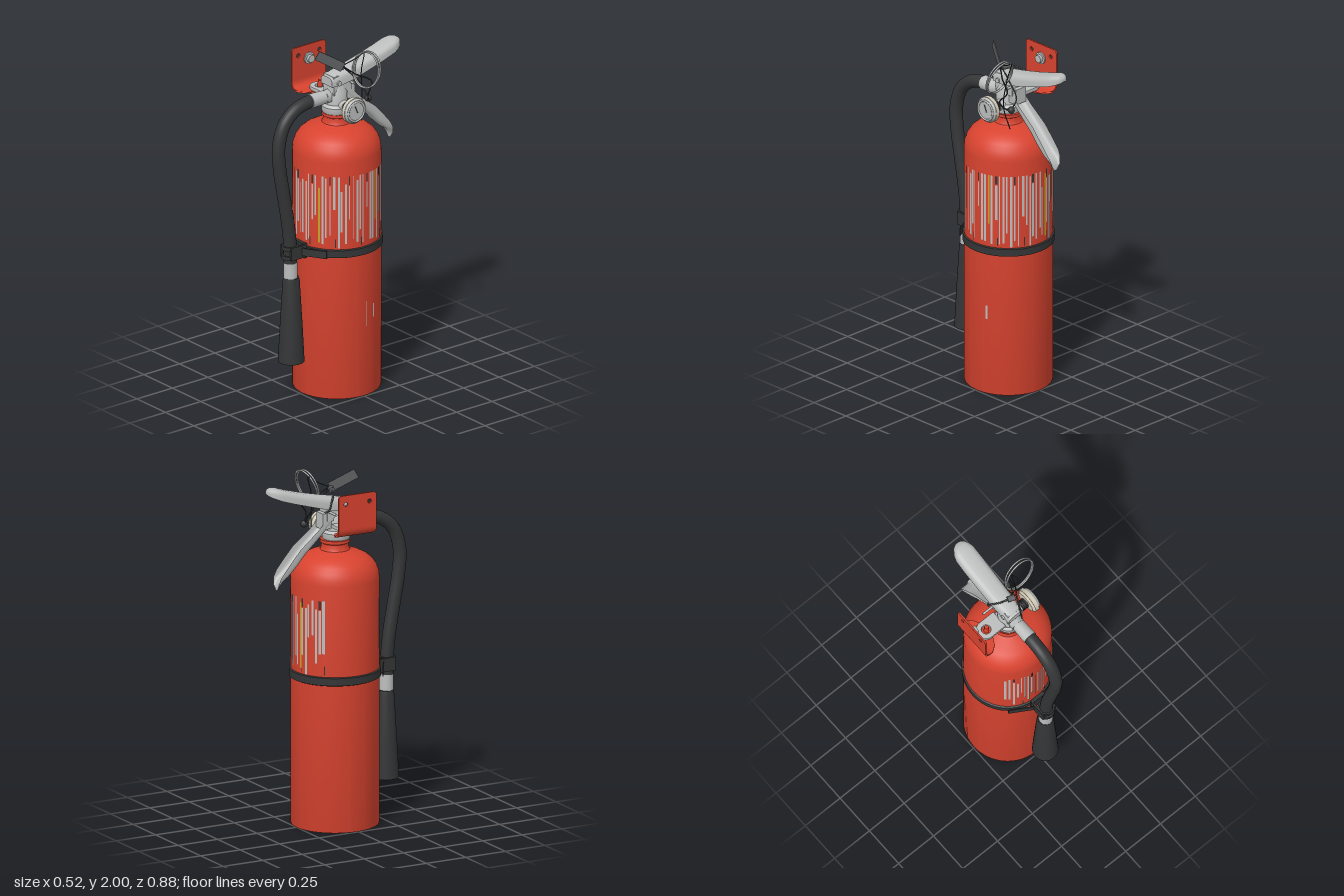
import * as THREE from 'three';
import { mergeGeometries, toCreasedNormals } from 'three/addons/utils/BufferGeometryUtils.js';

const V = (x, y, z) => new THREE.Vector3(x, y, z);

export function createModel() {
  const root = new THREE.Group();
  root.name = 'fireExtinguisher';
  const mat = (name, color, side = THREE.FrontSide) => {
    const m = new THREE.MeshStandardMaterial({ color, side });
    m.name = name;
    return m;
  };
  const red = mat('red paint', 0xd8432f, THREE.DoubleSide);
  const silver = mat('silver metal', 0xbcbebd, THREE.DoubleSide);
  const black = mat('black rubber', 0x343536, THREE.DoubleSide);
  const grey = mat('dark grey tag', 0x5c5d5f);
  const cream = mat('cream gauge rim', 0xd0c9b6);
  const yellow = mat('yellow label', 0xc9a227);

  const add = (name, geo, material, x = 0, y = 0, z = 0, parent = root) => {
    const m = new THREE.Mesh(geo, material);
    m.name = name;
    m.position.set(x, y, z);
    parent.add(m);
    return m;
  };
  const box = (name, w, h, d, material, x, y, z) => add(name, new THREE.BoxGeometry(w, h, d), material, x, y, z);
  // Cylinder between two points
  const rod = (name, a, b, ra, rb, material, seg = 24) => {
    const m = add(name, new THREE.CylinderGeometry(rb, ra, a.distanceTo(b), seg), material);
    m.position.copy(a).lerp(b, 0.5);
    m.quaternion.setFromUnitVectors(V(0, 1, 0), b.clone().sub(a).normalize());
    return m;
  };
  const lathe = (pts, seg = 72) =>
    toCreasedNormals(new THREE.LatheGeometry(pts.map(p => new THREE.Vector2(p[0], p[1])), seg), 0.6);
  const tube = (name, pts, r, material, seg = 60, sides = 8, closed = false) =>
    add(name, new THREE.TubeGeometry(new THREE.CatmullRomCurve3(pts.map(p => V(...p)), closed), seg, r, sides, closed), material);

  // Tank, with a recessed base inside a skirt
  const cz = -0.007;
  add('tank', lathe([
    [0, 0.09], [0.12, 0.08], [0.2, 0.06], [0.237, 0.045], [0.237, 0], [0.243, 0], [0.245, 0.008], [0.245, 1.4],
    [0.242, 1.43], [0.23, 1.465], [0.21, 1.495], [0.18, 1.52], [0.145, 1.538], [0.1, 1.55],
    [0.083, 1.558], [0.076, 1.57], [0.075, 1.595], [0.083, 1.6], [0.083, 1.618], [0, 1.618],
  ], 96), red, 0, 0, cz);

  // Worn label strips around the front, left and back
  let seed = 7;
  const rand = () => (seed = (seed * 16807) % 2147483647) / 2147483647;
  const strips = { silver: [], black: [], yellow: [] };
  const strip = (kind, angle, width, y0, y1) => {
    const g = new THREE.CylinderGeometry(0.2475, 0.2475, y1 - y0, 2, 1, true, angle, width / 0.245);
    strips[kind].push(g.translate(0, (y0 + y1) / 2, 0));
  };
  for (let i = 0; i < 54; i++) {
    const angle = -0.78 + i * 0.088 + rand() * 0.03;
    const width = (angle > 2.7 ? 0.008 : 0.005) + rand() * 0.009;
    if (i % 5 === 2) strip('black', angle, width, 1.27, 1.32);
    const top = i % 5 === 2 ? 1.265 : 1.32 - (rand() < 0.35 ? rand() * 0.12 : 0);
    const low = 0.89 + rand() * rand() * 0.3;
    strip(i % 16 === 14 ? 'yellow' : 'silver', angle, width, low, top);
    if (i % 7 === 4) strip('black', angle + 0.045, 0.005, 0.9, 0.95);
  }
  strip('silver', 1.83, 0.012, 0.45, 0.53);
  strip('silver', 1.6, 0.003, 0.41, 0.56);
  const stripMats = { silver, black, yellow };
  for (const k in strips) add(k + 'LabelStrips', mergeGeometries(strips[k]), stripMats[k], 0, 0, cz);

  // Strap and the clip that holds the hose
  add('strap', lathe([[0.245, 0.838], [0.254, 0.842], [0.254, 0.884], [0.245, 0.888]]), black, 0, 0, cz);
  for (const s of [-1, 1]) {
    const end = box('strapEnd', 0.145, 0.044, 0.006, black, s * 0.108, 0.862, 0.237);
    end.rotation.y = s * 0.54;
    box('clipArm', 0.012, 0.075, 0.1, black, s * 0.041, 0.862, 0.3);
  }
  box('clipBack', 0.09, 0.085, 0.02, black, 0, 0.862, 0.25);
  for (const y of [0.835, 0.89])
    add('clipRing', new THREE.CylinderGeometry(0.047, 0.047, 0.022, 24), black, 0, y, 0.322);

  // Hose, ferrules and discharge horn
  tube('hose', [[0, 1.718, 0.16], [0, 1.715, 0.21], [0, 1.69, 0.29], [0, 1.62, 0.365], [0, 1.5, 0.402],
    [0, 1.36, 0.394], [0, 1.2, 0.366], [0, 1.02, 0.335], [0, 0.9, 0.323], [0, 0.78, 0.32]], 0.037, black, 90, 24);
  rod('hoseFerrule', V(0, 1.718, 0.07), V(0, 1.718, 0.185), 0.037, 0.041, silver);
  rod('hoseNut', V(0, 1.718, 0.055), V(0, 1.718, 0.085), 0.043, 0.043, silver, 6);
  rod('hornFerrule', V(0, 0.71, 0.318), V(0, 0.8, 0.32), 0.039, 0.039, silver);
  add('horn', lathe([[0, 0.24], [0.06, 0.22], [0.068, 0.21], [0.073, 0.212], [0.072, 0.24], [0.063, 0.42],
    [0.047, 0.69], [0.043, 0.71], [0, 0.712]], 36), black, 0, 0, 0.314);

  // Valve body
  add('valveBody', lathe([[0, 1.615], [0.072, 1.615], [0.078, 1.625], [0.078, 1.655], [0.064, 1.67],
    [0.062, 1.74], [0.05, 1.765], [0.045, 1.8], [0, 1.8]], 36), silver);
  box('valveYoke', 0.09, 0.11, 0.13, silver, 0, 1.785, -0.015);
  box('handleMount', 0.075, 0.09, 0.09, silver, 0, 1.73, -0.06);
  rod('leverPivot', V(-0.062, 1.8, 0.02), V(0.062, 1.8, 0.02), 0.014, 0.014, silver, 16);

  // Pressed channel: half-round sections along a path, opening away from its normal (ny, nz)
  const channel = (name, stations, ny, nz) => {
    const n = 14, pos = [], idx = [];
    const soft = v => Math.sign(v) * Math.pow(Math.abs(v), 0.55);
    stations.forEach(([z, y, w, d], i) => {
      for (let j = 0; j <= n; j++) {
        const a = (j / n) * Math.PI, h = d * soft(Math.sin(a));
        pos.push(w * soft(Math.cos(a)), y + ny * h, z + nz * h);
        if (i && j) {
          const q = i * (n + 1) + j, p = q - n - 1;
          idx.push(p - 1, p, q - 1, p, q, q - 1);
        }
      }
    });
    // Close both ends
    for (const s of [0, (stations.length - 1) * (n + 1)])
      for (let j = 1; j < n; j++) idx.push(...(s ? [s, s + j, s + j + 1] : [s, s + j + 1, s + j]));
    // Face outward whichever way the normal points
    if (ny < 0) for (let i = 0; i < idx.length; i += 3) [idx[i], idx[i + 1]] = [idx[i + 1], idx[i]];
    const g = new THREE.BufferGeometry();
    g.setAttribute('position', new THREE.Float32BufferAttribute(pos, 3));
    g.setIndex(idx);
    g.computeVertexNormals();
    return add(name, toCreasedNormals(g, 0.9), silver);
  };
  channel('upperLever', [[0.065, 1.785, 0.05, 0.05], [0.0, 1.785, 0.056, 0.07], [-0.08, 1.8, 0.06, 0.07],
    [-0.2, 1.835, 0.063, 0.062], [-0.3, 1.865, 0.064, 0.06], [-0.37, 1.888, 0.063, 0.06], [-0.4, 1.9, 0.054, 0.054],
    [-0.425, 1.91, 0.037, 0.042], [-0.437, 1.917, 0.018, 0.025], [-0.44, 1.922, 0.004, 0.01]], 1, 0);
  channel('lowerHandle', [[-0.05, 1.77, 0.04, 0.05], [-0.14, 1.68, 0.042, 0.045], [-0.25, 1.592, 0.045, 0.055],
    [-0.3, 1.535, 0.046, 0.055], [-0.35, 1.475, 0.046, 0.045], [-0.372, 1.44, 0.04, 0.028],
    [-0.38, 1.4, 0.03, 0.012], [-0.378, 1.37, 0.012, 0.005]], -0.7, 0.7);

  // Pressure gauge on the left side
  const gy = 1.665, gz = -0.005;
  const gx = (name, x0, x1, r0, r1, m) => rod(name, V(x0, gy, gz), V(x1, gy, gz), r0, r1, m, 40);
  gx('gaugeBoss', 0.04, 0.085, 0.035, 0.03, silver);
  gx('gaugeStem', 0.08, 0.132, 0.026, 0.026, black);
  for (const x of [0.09, 0.103, 0.116]) gx('gaugeThread', x, x + 0.006, 0.031, 0.031, black);
  gx('gaugeBack', 0.128, 0.14, 0.06, 0.073, cream);
  gx('gaugeRim', 0.14, 0.163, 0.075, 0.075, cream);
  gx('gaugeFace', 0.162, 0.176, 0.073, 0.064, silver);
  const bezel = add('gaugeBezel', new THREE.TorusGeometry(0.056, 0.006, 8, 40), silver, 0.176, gy, gz);
  bezel.rotation.y = Math.PI / 2;
  const needle = box('gaugeNeedle', 0.004, 0.045, 0.006, grey, 0.177, gy + 0.012, gz);
  needle.rotation.x = 0.4;

  // Hanging loop on the right side of the valve
  const loop = new THREE.Shape();
  loop.moveTo(-0.06, -0.05).lineTo(-0.155, -0.05);
  loop.absarc(-0.155, 0, 0.05, -Math.PI / 2, Math.PI / 2, true);
  loop.lineTo(-0.06, 0.05);
  loop.holes.push(new THREE.Path().absarc(-0.152, 0, 0.03, 0, Math.PI * 2));
  const loopGeo = new THREE.ExtrudeGeometry(loop, { depth: 0.014, bevelSize: 0.004, bevelThickness: 0.004, bevelSegments: 2, curveSegments: 20 });
  add('hangingLoop', loopGeo.rotateX(-Math.PI / 2), silver, 0, 1.7, -0.01);

  // Wall bracket: upright plate with holes, bend and tapered tab
  const plate = new THREE.Shape();
  plate.moveTo(-0.13, 1.735).lineTo(0.11, 1.735).lineTo(0.11, 1.905).quadraticCurveTo(0.11, 1.93, 0.085, 1.93);
  plate.lineTo(-0.105, 1.93).quadraticCurveTo(-0.13, 1.93, -0.13, 1.905);
  for (const z of [-0.085, 0.065]) plate.holes.push(new THREE.Path().absarc(z, 1.88, 0.012, 0, Math.PI * 2));
  add('bracketPlate', new THREE.ExtrudeGeometry(plate, { depth: 0.01, bevelEnabled: false }).rotateY(-Math.PI / 2), red, -0.248);
  const bend = new THREE.Shape();
  bend.moveTo(-0.258, 1.736).quadraticCurveTo(-0.256, 1.688, -0.205, 1.686).lineTo(-0.17, 1.686).lineTo(-0.145, 1.686);
  bend.lineTo(-0.145, 1.696).lineTo(-0.17, 1.696).lineTo(-0.205, 1.696).quadraticCurveTo(-0.246, 1.698, -0.248, 1.736);
  const bendGeo = new THREE.ExtrudeGeometry(bend, { depth: 0.24, bevelEnabled: false }).translate(0, 0, -0.12);
  const bp = bendGeo.attributes.position;
  for (let i = 0; i < bp.count; i++) {
    const t = THREE.MathUtils.clamp((bp.getX(i) + 0.205) / 0.06, 0, 1);
    bp.setZ(i, bp.getZ(i) * (1 - 0.6 * t * t));
  }
  bendGeo.computeVertexNormals();
  add('bracketTab', bendGeo, red, 0, 0, -0.01);
  rod('bracketPeg', V(-0.15, 1.69, -0.01), V(-0.15, 1.75, -0.01), 0.016, 0.012, red, 16);
  rod('bracketWasher', V(-0.248, 1.85, -0.01), V(-0.24, 1.85, -0.01), 0.034, 0.034, silver, 28);
  rod('bracketBolt', V(-0.24, 1.85, -0.01), V(-0.222, 1.85, -0.01), 0.024, 0.024, silver, 6);

  // Safety pin with a split ring
  rod('safetyPin', V(-0.125, 1.785, -0.07), V(0.075, 1.785, -0.07), 0.007, 0.007, silver, 12);
  for (const [dz, tilt] of [[-0.006, -0.3], [0.006, -0.24]]) {
    const ring = add('pinRing', new THREE.TorusGeometry(0.099, 0.005, 8, 56), silver, 0.155, 1.885, -0.093 + dz);
    ring.rotation.set(tilt, 0.08, 0);
  }

  // Inspection tag: thin plate standing on edge
  const tag = box('tag', 0.165, 0.055, 0.006, grey, 0.025, 1.932, 0.06);
  const along = V(0.075, -0.085, -0.135).normalize();
  const face = V(0.87, 0, 0.48).normalize();
  const across = V(0, 0, 0).crossVectors(face, along).normalize();
  face.crossVectors(along, across);
  tag.quaternion.setFromRotationMatrix(new THREE.Matrix4().makeBasis(along, across, face));

  // Tag cord, seal wire and bead chain
  tube('tagCord', [[0.06, 1.89, -0.01], [0.1, 1.85, -0.06], [0.14, 1.8, -0.14], [0.16, 1.74, -0.1],
    [0.12, 1.69, -0.13], [0.07, 1.74, -0.14], [0.06, 1.83, -0.07]], 0.004, black, 70, 6, true);
  tube('sealWire', [[0.05, 1.9, -0.02], [0.075, 1.93, -0.08], [0.09, 1.96, -0.125], [0.1, 1.86, -0.1],
    [0.12, 1.7, -0.09], [0.09, 1.56, -0.11]], 0.003, black, 50, 6);
  add('wireSeal', new THREE.SphereGeometry(0.02, 14, 10), black, 0.11, 1.69, -0.14);
  rod('chainCrimp', V(0.01, 1.888, -0.02), V(0.05, 1.888, -0.005), 0.017, 0.017, grey, 14);
  const chain = new THREE.CatmullRomCurve3([V(0.01, 1.885, -0.02), V(-0.03, 1.875, -0.035), V(-0.068, 1.85, -0.065),
    V(-0.074, 1.8, -0.085), V(-0.06, 1.79, -0.1)]);
  const beads = chain.getSpacedPoints(16).map(p => new THREE.SphereGeometry(0.006, 8, 6).translate(p.x, p.y, p.z));
  add('beadChain', mergeGeometries(beads), grey);

  return root;
}
